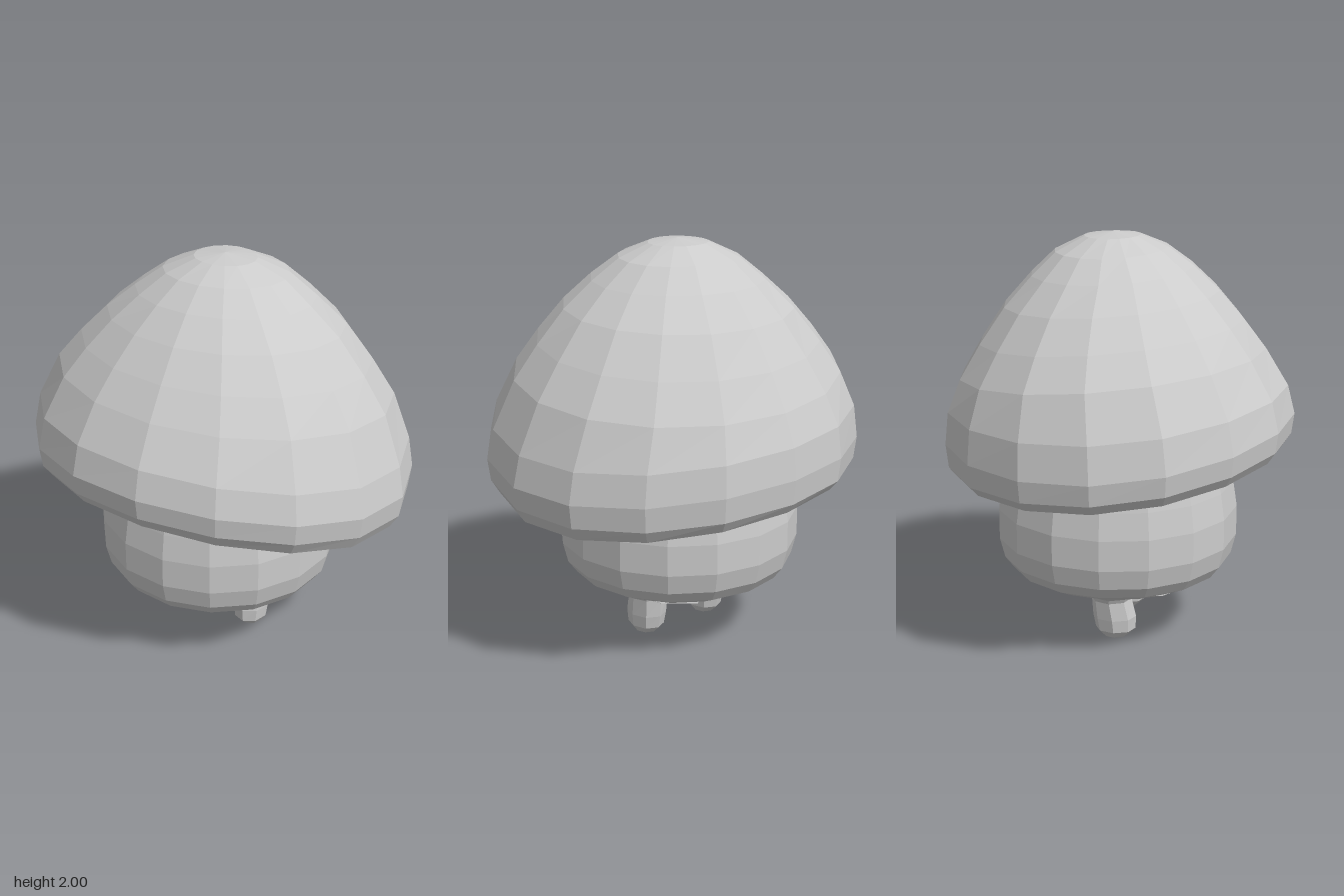
import * as THREE from 'three';

const material = new THREE.MeshStandardMaterial({ color: 0xcccccc, flatShading: true, side: THREE.DoubleSide });

// Skin a stack of rings, listed so that the surface faces outward when going up.
// point(ring, angle) gives a position; angle 0 is the front, a quarter turn is +x.
function loft(name, rings, sides, point) {
  const positions = [], index = [];
  rings.forEach((ring, i) => {
    for (let j = 0; j < sides; j++) {
      positions.push(...point(ring, (j / sides) * Math.PI * 2));
      if (i === rings.length - 1) continue;
      const k = (j + 1) % sides;
      const a = i * sides + j, b = i * sides + k;
      index.push(a, b, b + sides, a, b + sides, a + sides);
    }
  });
  const geometry = new THREE.BufferGeometry();
  geometry.setAttribute('position', new THREE.Float32BufferAttribute(positions, 3));
  geometry.setIndex(index);
  geometry.computeVertexNormals();
  const mesh = new THREE.Mesh(geometry, material);
  mesh.name = name;
  return mesh;
}

// Tilted cap: [radius, height at front, left, back, right, z shift]
function createCap() {
  const rings = [
    [0.50, 1.02, 0.92, 0.95, 0.98, 0],
    [0.86, 1.00, 0.81, 0.87, 0.92, 0],
    [0.94, 0.97, 0.77, 0.83, 0.88, 0],
    [0.985, 1.03, 0.84, 0.88, 0.93, 0],
    [1.00, 1.13, 0.95, 1.00, 1.03, 0],
    [0.97, 1.27, 1.10, 1.15, 1.20, -0.01],
    [0.87, 1.45, 1.34, 1.30, 1.41, -0.035],
    [0.75, 1.59, 1.51, 1.47, 1.55, -0.04],
    [0.61, 1.725, 1.68, 1.65, 1.69, -0.04],
    [0.46, 1.84, 1.81, 1.80, 1.81, -0.035],
    [0.32, 1.93, 1.915, 1.91, 1.91, -0.04],
    [0.16, 1.985, 1.98, 1.98, 1.98, -0.035],
    [0, 2, 2, 2, 2, -0.03],
  ];
  return loft('cap', rings, 16, ([r, front, left, back, right, shift], a) => {
    const s = Math.sin(a), c = Math.cos(a);
    const y = c * c * (front + back) / 2 + s * s * (left + right) / 2
      + c * (front - back) / 2 + s * (left - right) / 2;
    return [0.955 * r * s, y, 0.858 * r * c + shift];
  });
}

// Plump stem: [radius, height]
function createStem() {
  const rings = [
    [0, 0.26], [0.22, 0.265], [0.42, 0.285], [0.53, 0.34], [0.575, 0.4],
    [0.6, 0.5], [0.6, 0.65], [0.58, 0.78], [0.555, 0.9], [0.5, 1.06],
  ];
  return loft('stem', rings, 16, ([r, y], a) =>
    [-0.022 + r * Math.sin(a), y, -0.01 + r * Math.cos(a)]);
}

// Short leg flaring into the stem: [x radius, z radius, height, z shift]
function createLeg(name, x) {
  const rings = [
    [0, 0, 0, 0.01], [0.055, 0.06, 0.008, 0.01], [0.083, 0.1, 0.045, 0.01],
    [0.092, 0.108, 0.11, 0.005], [0.097, 0.1, 0.205, -0.01],
    [0.108, 0.11, 0.226, -0.01], [0.19, 0.38, 0.282, -0.01],
  ];
  return loft(name, rings, 8, ([rx, rz, y, shift], a) =>
    [x + rx * Math.sin(a), y, shift + rz * Math.cos(a)]);
}

export function createModel() {
  const model = new THREE.Group();
  model.name = 'mushroom';
  model.add(createCap(), createStem(), createLeg('leftLeg', 0.175), createLeg('rightLeg', -0.215));
  return model;
}
